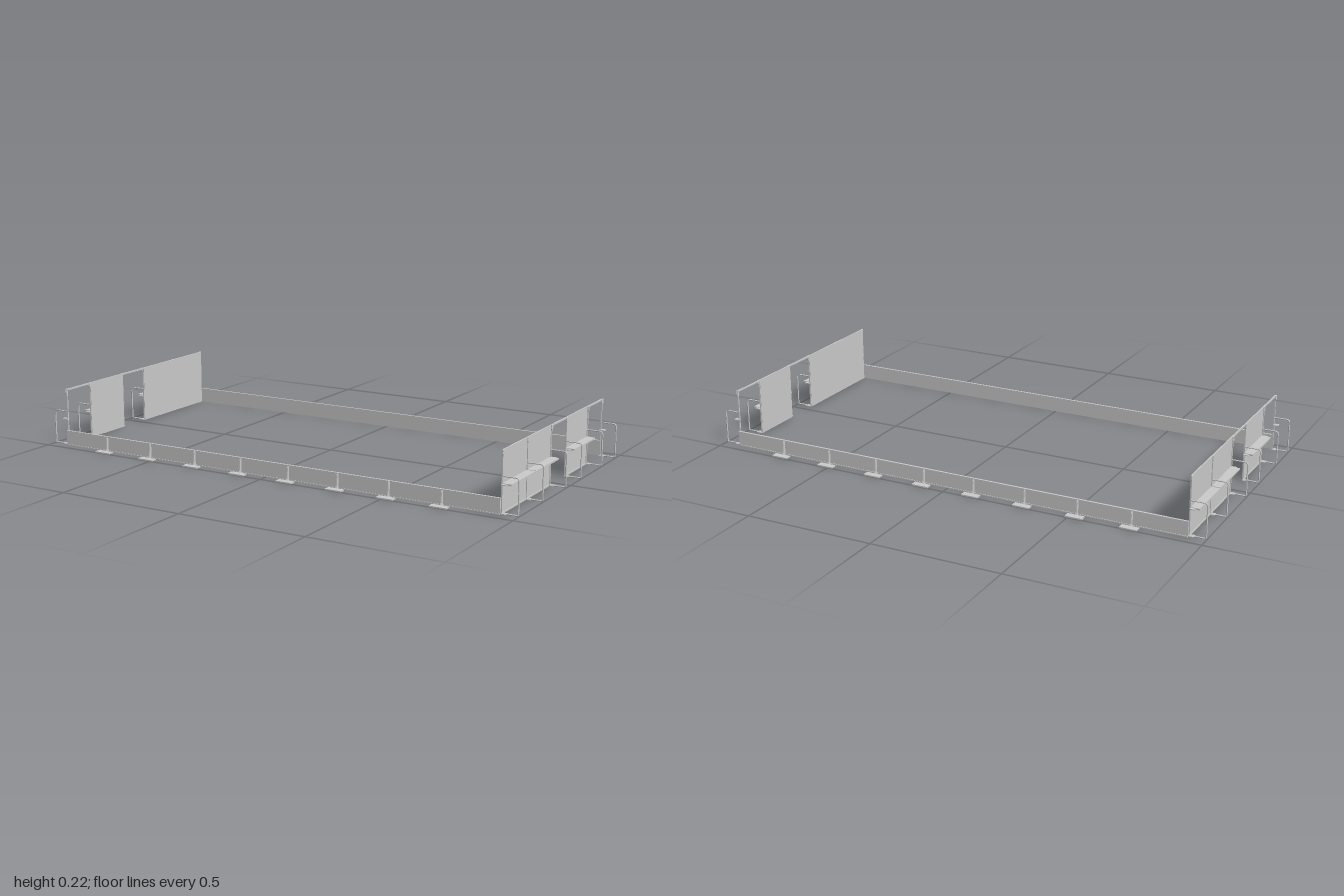
import * as THREE from 'three';

const material = new THREE.MeshStandardMaterial({ color: 0xcccccc, flatShading: true, side: THREE.DoubleSide });

const WALL_X = 0.935, BOARD_Z = 0.46, WALL_TOP = 0.224;

function add(parent, name, geometry, x = 0, y = 0, z = 0) {
  const mesh = new THREE.Mesh(geometry, material);
  mesh.name = name;
  mesh.position.set(x, y, z);
  parent.add(mesh);
  return mesh;
}

// Box given by its minimum and maximum corners
function box(parent, name, [x0, x1], [y0, y1], [z0, z1]) {
  return add(parent, name, new THREE.BoxGeometry(x1 - x0, y1 - y0, z1 - z0),
    (x0 + x1) / 2, (y0 + y1) / 2, (z0 + z1) / 2);
}

// Outline in a vertical plane, extruded to a thin plate centred on its plane
function plate(points, depth) {
  const shape = new THREE.Shape(points.map(([x, y]) => new THREE.Vector2(x, y)));
  return new THREE.ExtrudeGeometry(shape, { depth, bevelEnabled: false }).translate(0, 0, -depth / 2);
}

// Bent bar from the wall out along the floor, up, and back to the wall
function supportLoopGeometry() {
  const v = (x, y) => new THREE.Vector3(x, y, 0);
  const low = 0.003, high = 0.133, out = 0.9975, r = 0.012;
  const path = new THREE.CurvePath();
  path.add(new THREE.LineCurve3(v(WALL_X, low), v(out - r / 3, low)));
  path.add(new THREE.QuadraticBezierCurve3(v(out - r / 3, low), v(out, low), v(out, low + r / 3)));
  path.add(new THREE.LineCurve3(v(out, low + r / 3), v(out, high - r)));
  path.add(new THREE.QuadraticBezierCurve3(v(out, high - r), v(out, high), v(out - r, high)));
  path.add(new THREE.LineCurve3(v(out - r, high), v(WALL_X, high)));
  return new THREE.TubeGeometry(path, 80, 0.0025, 6, false);
}

// One end wall on the +x side, with two doorways
function createEndWall() {
  const wall = new THREE.Group();
  wall.name = 'endWall';
  const posts = [0.45, 0.245, 0.039, -0.103, -0.309, -0.45];
  const loop = supportLoopGeometry();
  const bracket = plate([[-0.007, 0.224], [-0.007, 0.21], [-0.004, 0.205], [0.004, 0.205], [0.007, 0.21], [0.007, 0.224]], 0.003);
  bracket.rotateY(Math.PI / 2);

  for (const z of posts) {
    box(wall, 'upright', [WALL_X - 0.002, WALL_X + 0.003], [0, WALL_TOP], [z - 0.0025, z + 0.0025]);
    add(wall, 'supportLoop', loop, 0, 0, z);
    add(wall, 'topBracket', bracket, WALL_X + 0.003, 0, z);
    box(wall, 'shelfBracket', [WALL_X, 0.955], [0.102, 0.105], [z - 0.009, z + 0.009]);
    box(wall, 'footBracket', [WALL_X, 0.955], [0.001, 0.004], [z - 0.009, z + 0.009]);
  }

  // Panels with a shelf on the outside; the pairs left out are doorways
  for (const i of [0, 1, 3]) {
    const span = [posts[i + 1], posts[i]];
    box(wall, 'panel', [WALL_X - 0.003, WALL_X], [0, WALL_TOP], span);
    box(wall, 'shelf', [WALL_X, 0.969], [0.101, 0.107], [span[0] + 0.002, span[1] - 0.002]);
    box(wall, 'bottomRail', [WALL_X, WALL_X + 0.003], [0, 0.005], span);
  }
  box(wall, 'topRail', [WALL_X - 0.003, WALL_X + 0.002], [0.218, WALL_TOP], [-0.452, 0.452]);
  return wall;
}

// One long low board on the +z side with braces and feet
function createSideBoard() {
  const side = new THREE.Group();
  side.name = 'sideBoard';
  box(side, 'board', [-WALL_X, WALL_X], [0, 0.058], [BOARD_Z - 0.005, BOARD_Z + 0.001]);
  box(side, 'boardTopRail', [-WALL_X, WALL_X], [0.055, 0.059], [BOARD_Z - 0.005, BOARD_Z + 0.003]);
  box(side, 'boardBottomRail', [-WALL_X, WALL_X], [0, 0.004], [BOARD_Z - 0.005, BOARD_Z + 0.003]);
  const brace = plate([[0, 0], [0.018, 0], [0.013, 0.012], [0.009, 0.05], [0.005, 0.056], [0, 0.056]], 0.004);
  brace.rotateY(-Math.PI / 2);
  for (let i = 0; i < 8; i++) {
    const x = (i - 3.5) * 0.207 - 0.005;
    add(side, 'brace', brace, x, 0, BOARD_Z);
    box(side, 'foot', [x - 0.033, x + 0.033], [0, 0.005], [0.474, 0.5]);
    box(side, 'footTongue', [x - 0.004, x + 0.004], [0, 0.004], [BOARD_Z, 0.476]);
  }
  return side;
}

export function createModel() {
  const model = new THREE.Group();
  model.name = 'sportsRinkEnclosure';

  // The end walls match by a half turn, which swaps the doorways
  const leftEnd = createEndWall();
  const rightEnd = createEndWall();
  rightEnd.rotation.y = Math.PI;

  const frontSide = createSideBoard();
  const backSide = createSideBoard();
  backSide.scale.z = -1;

  model.add(leftEnd, rightEnd, frontSide, backSide);
  return model;
}
